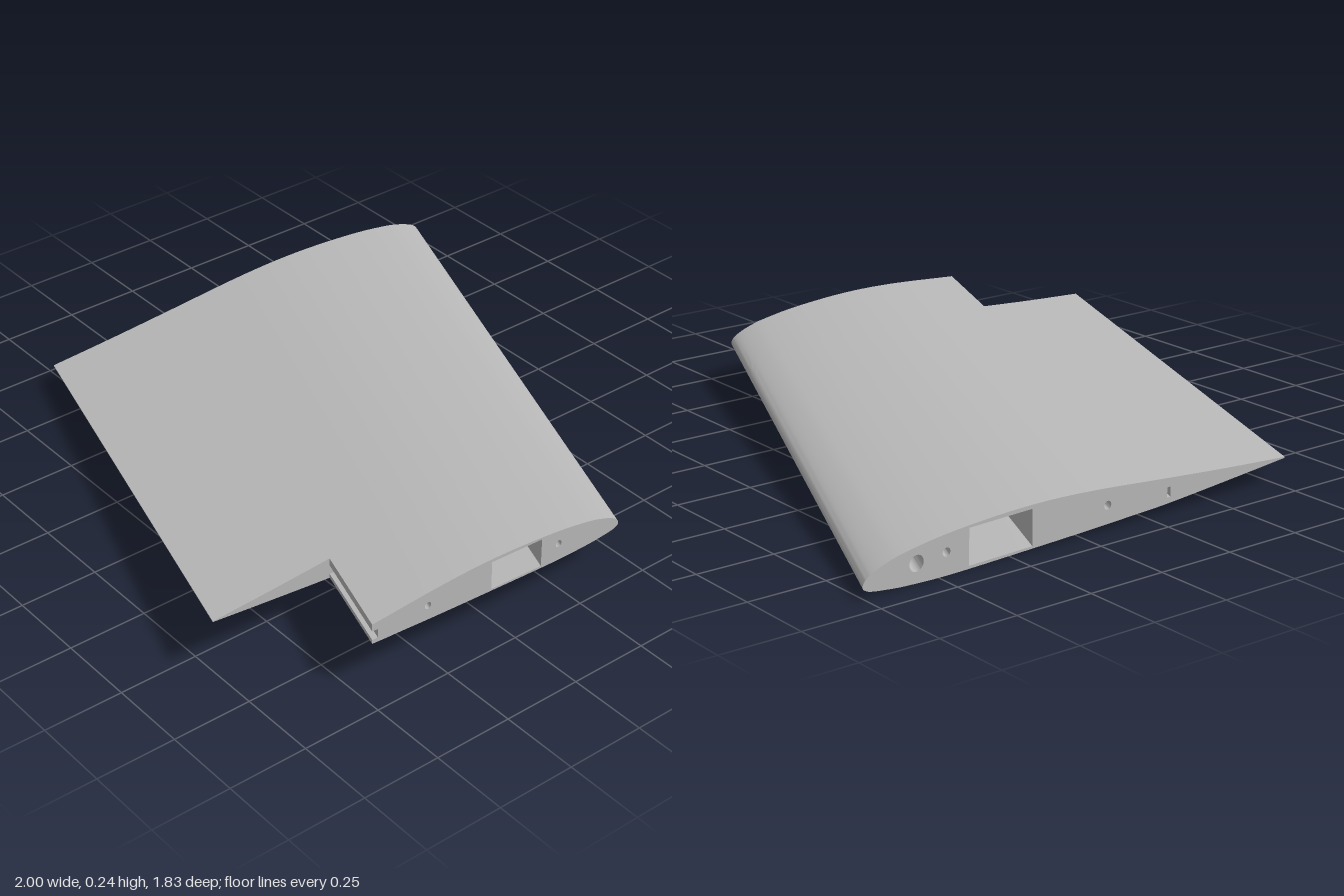
import * as THREE from 'three';
import { toCreasedNormals } from 'three/addons/utils/BufferGeometryUtils.js';

// Span stations: back end, notch and front end
const BACK = -0.917, NOTCH = 0.59, FRONT = 0.917, HINGE = 0.7;

// Maps chord fraction t, height h (in chords) and span z onto the swept, tapered wing
function place(t, h, z) {
  const s = z - BACK;
  const chord = 1.535 - 0.1173 * s;
  const x = 1 - 0.425 * s - t * chord;
  const noseY = 0.033 + 0.0578 * s, tailY = 0.075 + 0.068 * s;
  return new THREE.Vector3(x, noseY + (tailY - noseY) * t + h * chord, z);
}

// Aerofoil: lower trailing edge, round the nose, to the upper trailing edge
const lower = [[1, -0.001], [0.85, -0.011], [0.7, -0.02], [0.62, -0.022], [0.56, -0.0235], [0.5, -0.0245],
  [0.4, -0.0255], [0.2, -0.0265], [0.1, -0.0225], [0.05, -0.0175], [0.0125, -0.011]];
const upper = [[0, 0], [0.0125, 0.016], [0.05, 0.031], [0.1, 0.042], [0.2, 0.053], [0.35, 0.058],
  [0.5, 0.051], [0.7, 0.03], [0.85, 0.0145], [1, 0.001]];
const controls = [...lower, ...upper].map(([t, h]) => new THREE.Vector2(t, h));
const outline = new THREE.SplineCurve(controls).getPoints((controls.length - 1) * 5);
const lowerAt = t => lower.find(p => p[0] === t)[1];

// Grooved hinge face, from top to bottom
const hingeProfile = [[0.7, 0.03], [0.7, 0.012], [0.685, 0.012], [0.685, -0.01], [0.7, -0.01], [0.7, -0.02]]
  .map(([t, h]) => new THREE.Vector2(t, h));

function quad(out, a, b, c, d) {
  for (const p of [a, b, c, a, c, d]) out.push(p.x, p.y, p.z);
}

function toGeometry(points) {
  const g = new THREE.BufferGeometry();
  g.setAttribute('position', new THREE.Float32BufferAttribute(points, 3));
  return toCreasedNormals(g, 0.6);
}

// Sweeps a (t, h) line along the span, leaving out pieces that skip() rejects
function sweep(out, line, z0, z1, skip = () => false) {
  for (let i = 0; i < line.length - 1; i++) {
    const a = line[i], b = line[i + 1];
    if (skip((a.x + b.x) / 2, i)) continue;
    quad(out, place(a.x, a.y, z0), place(b.x, b.y, z0), place(b.x, b.y, z1), place(a.x, a.y, z1));
  }
}

// Flat end plate with holes
function plate(points, holes, z, facesFront) {
  const shape = new THREE.Shape(points);
  shape.holes = holes.map(h => new THREE.Path(h));
  const g = new THREE.ShapeGeometry(shape), pos = g.attributes.position;
  for (let i = 0; i < pos.count; i++) {
    const p = place(pos.getX(i), pos.getY(i), z);
    pos.setXYZ(i, p.x, p.y, p.z);
  }
  if (facesFront) g.index.array.reverse();
  g.computeVertexNormals();
  return g;
}

function rectangle(t0, t1, h0, h1) {
  return [[t0, h0], [t1, h0], [t1, h1], [t0, h1]].map(([t, h]) => new THREE.Vector2(t, h));
}

function circle(t, h, r) {
  return Array.from({ length: 20 }, (_, i) => {
    const a = i / 20 * Math.PI * 2;
    return new THREE.Vector2(t + r * Math.cos(a), h + r * Math.sin(a));
  });
}

// Equipment bay in the underside: a main well and a side tab
const inBay = (t, z) => (t > 0.4 && t < 0.56 && z > 0.62 && z < 0.82)
  || (t > 0.5 && t < 0.62 && z > 0.55 && z < 0.66);
const bayLoop = [[0.4, 0.62], [0.5, 0.62], [0.5, 0.55], [0.56, 0.55], [0.62, 0.55], [0.62, 0.66],
  [0.56, 0.66], [0.56, 0.82], [0.5, 0.82], [0.4, 0.82]];
const bayCeiling = 0.025;

export function createModel() {
  const wing = new THREE.Group();
  wing.name = 'wingSection';
  const grey = new THREE.MeshStandardMaterial({ color: 0xb8b8b8, side: THREE.DoubleSide });
  grey.name = 'plain grey';
  const add = (name, geometry) => {
    const mesh = new THREE.Mesh(geometry, grey);
    mesh.name = name;
    wing.add(mesh);
  };

  // Skin in span bands, open at the bay and the rear notch
  const skin = [], ceiling = [];
  const bands = [BACK, 0.55, NOTCH, 0.62, 0.66, 0.82, FRONT];
  const noseIndex = lower.length * 5;
  for (let i = 0; i < bands.length - 1; i++) {
    const z0 = bands[i], z1 = bands[i + 1], mid = (z0 + z1) / 2;
    sweep(skin, outline, z0, z1, (t, k) =>
      (mid > NOTCH && t > HINGE) || (k < noseIndex && inBay(t, mid)));
    const roof = [0.62, 0.56, 0.5, 0.4].map(t => new THREE.Vector2(t, bayCeiling));
    sweep(ceiling, roof, z0, z1, t => !inBay(t, mid));
  }
  // Blunt trailing edge
  sweep(skin, [outline[outline.length - 1], outline[0]], BACK, NOTCH);
  add('skin', toGeometry(skin));
  add('bayCeiling', toGeometry(ceiling));

  // Bay walls
  const walls = [];
  bayLoop.forEach(([t, z], i) => {
    const [u, w] = bayLoop[(i + 1) % bayLoop.length];
    quad(walls, place(t, lowerAt(t), z), place(u, lowerAt(u), w), place(u, bayCeiling, w), place(t, bayCeiling, z));
  });
  add('bayWalls', toGeometry(walls));

  // Hinge face along the notch
  const hinge = [];
  sweep(hinge, hingeProfile, NOTCH, FRONT);
  add('hingeFace', toGeometry(hinge));

  // Passages running along the span
  const spar = rectangle(0.23, 0.373, -0.021, 0.05);
  const frontPin = circle(0.18, 0.018, 0.0085);
  const rearPin = circle(0.55, 0.013, 0.0085);
  const socket = circle(0.115, 0.014, 0.0155);
  const slot = rectangle(0.696, 0.704, -0.008, 0.012);
  const passages = [
    ['sparTunnel', spar, BACK, FRONT],
    ['frontPinTunnel', frontPin, BACK, FRONT],
    ['rearPinTunnel', rearPin, BACK, 0.55],
    ['rearPinHole', rearPin, 0.82, FRONT],
    ['noseSocket', socket, BACK, -0.6],
    ['hingeSlot', slot, BACK, NOTCH],
  ];
  for (const [name, loop, z0, z1] of passages) {
    const out = [];
    sweep(out, [...loop, loop[0]], z0, z1);
    add(name, toGeometry(out));
  }
  add('noseSocketEnd', plate(socket, [], -0.6, false));

  // End plates
  const ahead = outline.filter(p => p.x <= HINGE + 1e-6);
  const behindLower = outline.filter((p, i) => i < noseIndex && p.x >= HINGE - 1e-6);
  const behindUpper = outline.filter((p, i) => i > noseIndex && p.x >= HINGE - 1e-6);
  const groove = hingeProfile.slice(1, -1);
  add('backEnd', plate(outline, [spar, frontPin, rearPin, socket, slot], BACK, false));
  add('frontEnd', plate([...ahead, ...groove], [spar, frontPin, rearPin], FRONT, true));
  add('notchEnd', plate([...behindUpper, ...behindLower, ...groove.slice().reverse()], [], NOTCH, true));
  return wing;
}
